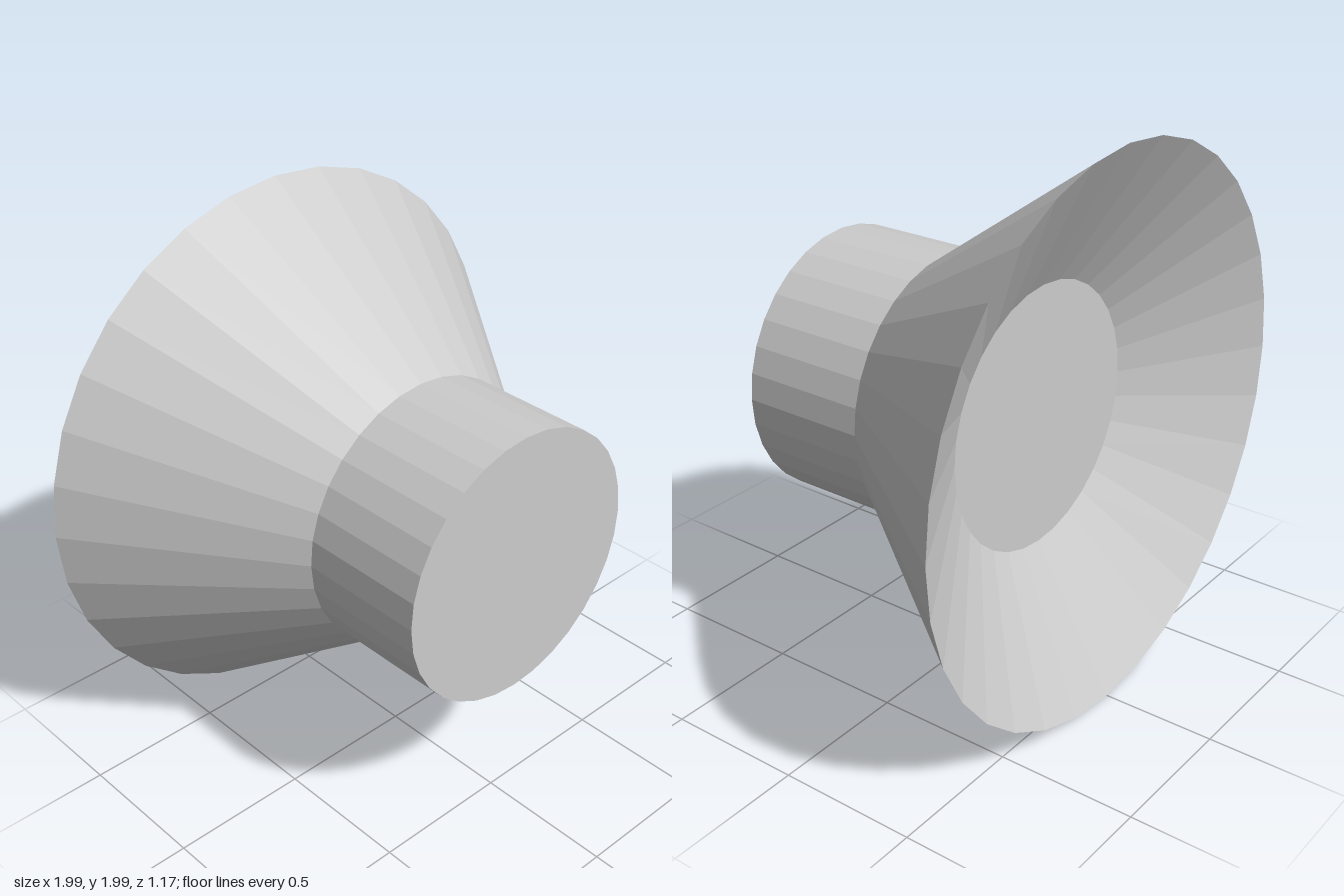
import * as THREE from 'three';

const SIDES = 32;

// Turns a [radius, z] profile around the z axis.
function turned(name, profile, material) {
  const points = profile.map(([r, z]) => new THREE.Vector2(r, z));
  const geometry = new THREE.LatheGeometry(points, SIDES);
  geometry.rotateX(Math.PI / 2);
  const mesh = new THREE.Mesh(geometry, material);
  mesh.name = name;
  mesh.position.y = 1;
  return mesh;
}

export function createModel() {
  const group = new THREE.Group();
  group.name = 'flaredKnob';
  const material = new THREE.MeshStandardMaterial({ color: 0xcccccc, flatShading: true });

  // Flared bell: recessed disc, shallow inner cone, sharp rim, steep outer cone
  group.add(turned('bell', [[0, -0.285], [0.475, -0.285], [0.997, -0.587], [0.488, 0.12]], material));

  // Short cylindrical neck with a flat front face
  group.add(turned('neck', [[0.488, 0.12], [0.488, 0.587], [0, 0.587]], material));

  return group;
}
